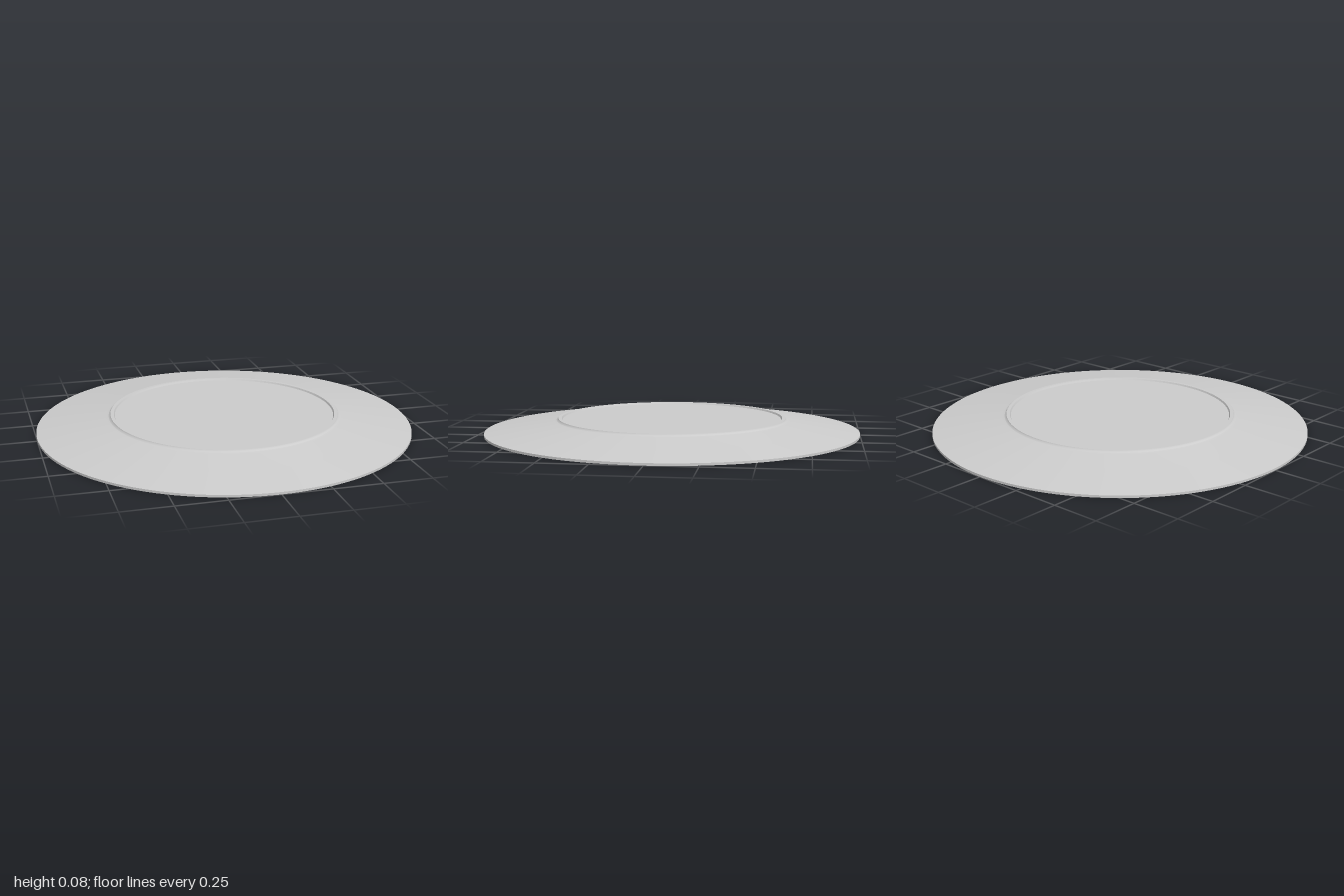
import * as THREE from 'three';
import { mergeGeometries } from 'three/addons/utils/BufferGeometryUtils.js';

const SEGMENTS = 128;

// Each band is a smooth stretch of profile [radius, height]; bands meet at sharp edges.
function latheBands(bands) {
  return mergeGeometries(bands.map((band) =>
    new THREE.LatheGeometry(band.map(([r, y]) => new THREE.Vector2(r, y)), SEGMENTS)));
}

export function createModel() {
  const model = new THREE.Group();
  model.name = 'upturnedPlate';
  const material = new THREE.MeshStandardMaterial({ color: 0xcccccc });
  const add = (name, bands) => {
    const mesh = new THREE.Mesh(latheBands(bands), material);
    mesh.name = name;
    model.add(mesh);
  };

  // Hollow eating side, facing down: flat well, short wall and sloping rim
  add('well', [
    [[0, 0.063], [0.592, 0.063]],
    [[0.592, 0.063], [0.598, 0.061], [0.605, 0.053]],
  ]);
  add('rimUnderside', [[[0.605, 0.053], [0.8, 0.026], [1, 0]]]);

  // Thin outer edge
  add('rimEdge', [[[1, 0], [1, 0.012]]]);

  // Sloping outer face, curving up into the foot
  add('rimTop', [[[1, 0.012], [0.8, 0.043], [0.63, 0.069], [0.618, 0.072]]]);

  // Narrow raised foot ring
  add('footRing', [
    [[0.618, 0.072], [0.611, 0.076], [0.608, 0.082]],
    [[0.608, 0.082], [0.59, 0.082]],
    [[0.59, 0.082], [0.585, 0.073]],
  ]);

  // Flat base inside the foot ring
  add('base', [[[0.585, 0.073], [0, 0.073]]]);

  return model;
}
